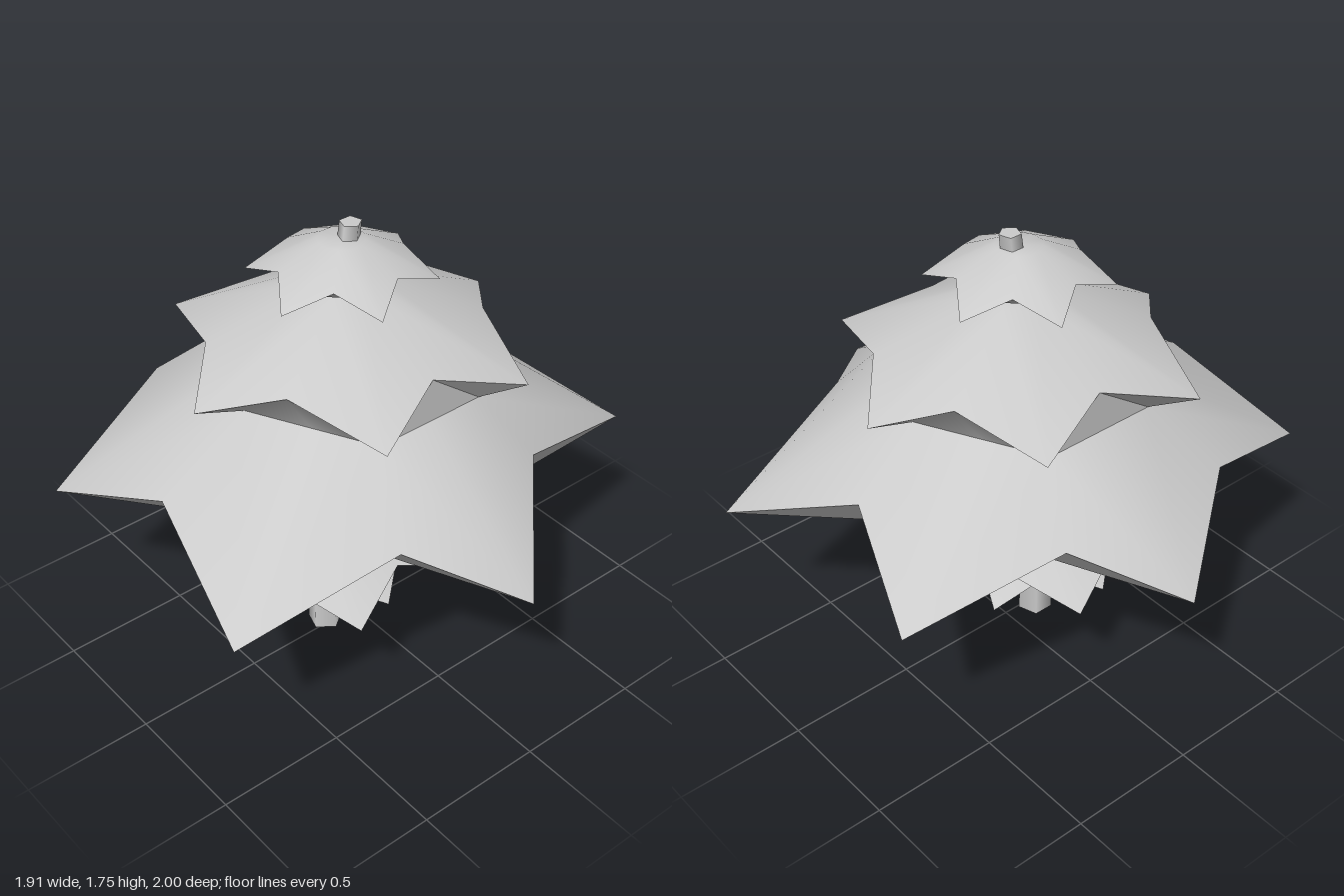
import * as THREE from 'three';
import { toCreasedNormals } from 'three/addons/utils/BufferGeometryUtils.js';

const material = new THREE.MeshStandardMaterial({ color: 0xcccccc });

// Closed skin over a stack of equal rings, listed from top to bottom.
// Quads alternate their diagonal so branch tips are symmetric; flipRow swaps it in one row.
function loft(name, rings, crease, flipRow = -1) {
  const n = rings[0].length, pos = [];
  const centre = ring => ring.reduce((s, p) => s.add(p), new THREE.Vector3()).divideScalar(n);
  const tri = (...pts) => pts.forEach(p => pos.push(p.x, p.y, p.z));
  const first = rings[0], last = rings[rings.length - 1];
  const top = centre(first), bottom = centre(last);
  for (let i = 0; i < n; i++) {
    const j = (i + 1) % n;
    tri(top, first[j], first[i]);
    tri(bottom, last[i], last[j]);
    for (let k = 0; k + 1 < rings.length; k++) {
      const a = rings[k], b = rings[k + 1];
      if ((i % 2 === 1) !== (k === flipRow)) {
        tri(a[i], a[j], b[j]);
        tri(a[i], b[j], b[i]);
      } else {
        tri(a[i], a[j], b[i]);
        tri(a[j], b[j], b[i]);
      }
    }
  }
  const geometry = new THREE.BufferGeometry();
  geometry.setAttribute('position', new THREE.Float32BufferAttribute(pos, 3));
  const mesh = new THREE.Mesh(toCreasedNormals(geometry, crease), material);
  mesh.name = name;
  return mesh;
}

// Ring around (cx, cz); radius and height alternate between tips and valleys
function ring(n, [cx, cz], rot, [r0, r1 = r0], [y0, y1 = y0]) {
  return Array.from({ length: n }, (_, i) => {
    const a = THREE.MathUtils.degToRad(rot) + (i / n) * Math.PI * 2;
    const r = i % 2 ? r1 : r0;
    return new THREE.Vector3(cx + r * Math.cos(a), i % 2 ? y1 : y0, cz + r * Math.sin(a));
  });
}

// Six-sided polygon with the midpoint of each side included
const hexagon = (c, rot, r, y) => ring(12, c, rot, [r, r * Math.cos(Math.PI / 6)], [y]);

// Rim given as x, z pairs, with two alternating heights
const rim = (points, heights) => points.map(([x, z], i) => new THREE.Vector3(x, heights[i % 2], z));

// Twelve x, z pairs mirrored from the four of one quarter (at 0, 30, 60 and 90 degrees)
const mirrored = ([cx, cz], quarter) => Array.from({ length: 12 }, (_, i) => {
  const [x, z] = quarter[i % 6 > 3 ? 6 - (i % 6) : i % 6];
  return [cx + (i > 3 && i < 9 ? -x : x), cz + (i > 6 ? -z : z)];
});

export function createModel() {
  const model = new THREE.Group();
  model.name = 'tree';

  // Lowest small layer, tips on the odd points
  const low = [-0.125, -0.035];
  model.add(loft('lowestFoliage', [
    ring(12, low, 0, [0.11], [0.5]),
    rim(mirrored(low, [[0.29, 0], [0.388, 0.21], [0.15, 0.26], [0, 0.385]]), [0.415, 0.335]),
    hexagon(low, 0, 0.15, 0.305),
  ], 0.7, 0));

  // Second layer
  model.add(loft('lowFoliage', [
    ring(12, low, 0, [0.115], [0.715]),
    rim(mirrored(low, [[0.55, 0], [0.385, 0.23], [0.275, 0.557], [0, 0.43]]), [0.49, 0.555]),
    hexagon(low, 0, 0.25, 0.495),
  ], 0.7));

  // Two large layers joined by a six-sided neck
  const highRim = [[0.65, -0.055], [0.44, 0.19], [0.32, 0.555], [0, 0.415], [-0.32, 0.555], [-0.45, 0.19],
    [-0.67, -0.04], [-0.46, -0.26], [-0.325, -0.65], [0, -0.49], [0.33, -0.605], [0.44, -0.26]];
  const neck = [[0.455, 0], [0.34, 0.228], [0.225, 0.455], [0, 0.455]];
  const wideRim = [[0.71, -0.06], [0.955, 0.43], [0.335, 0.59], [-0.04, 0.995], [-0.38, 0.7], [-0.955, 0.54],
    [-0.83, -0.03], [-0.96, -0.55], [-0.39, -0.71], [0.01, -1], [0.335, -0.71], [0.875, -0.51]];
  model.add(loft('largeFoliage', [
    ring(12, [-0.01, -0.04], 0, [0.118], [1.515]),
    rim(highRim, [1.243, 1.33]),
    rim(mirrored([-0.01, -0.035], neck), [1.165, 1.165]),
    rim(wideRim, [0.952, 0.742]),
    hexagon([-0.02, -0.02], 0, 0.58, 0.78),
  ], 0.7, 2));

  // Top layer
  const high = [-0.03, -0.035];
  model.add(loft('topFoliage', [
    ring(12, high, 45.6, [0.085], [1.69]),
    ring(12, high, 45.6, [0.34, 0.235], [1.55, 1.613]),
    hexagon(high, 45.6, 0.19, 1.555),
  ], 0.7));

  // Five-sided trunk that tapers and bends: height, centre x, radius
  const trunk = [[1.745, 0.005, 0.041], [1.53, -0.022, 0.044], [1.1, -0.08, 0.05], [0.75, -0.122, 0.056], [0.4, -0.129, 0.063], [0, -0.128, 0.068]];
  const sections = trunk.map(([y, x, r]) => ring(5, [x, -0.028], 90, [r], [y]));
  model.add(loft('trunk', sections, 1.3));

  return model;
}
